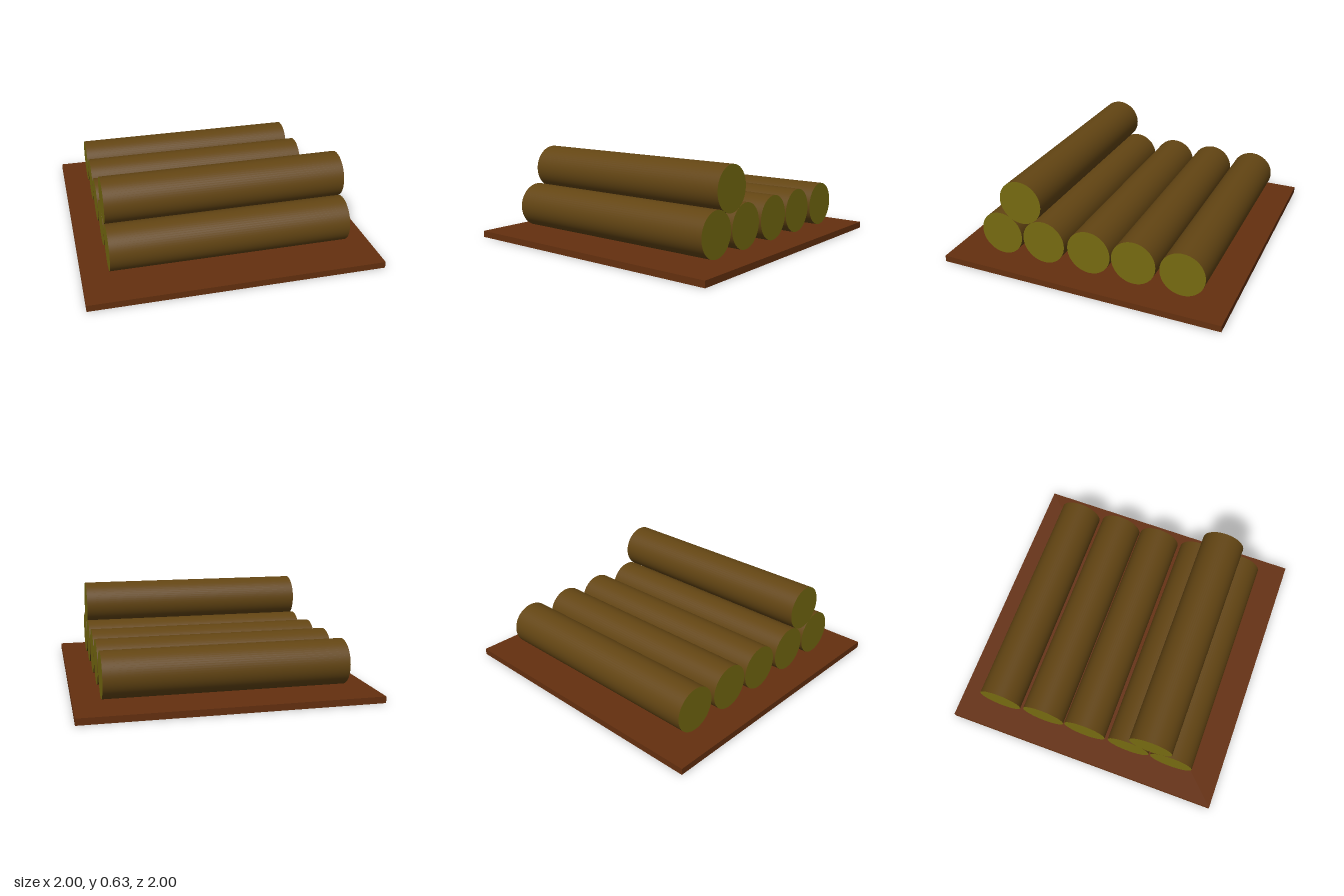
import * as THREE from 'three';

export function createModel() {
  const model = new THREE.Group();
  model.name = 'logPile';

  const boardMat = new THREE.MeshStandardMaterial({ color: 0x65300f });
  const barkMat = new THREE.MeshStandardMaterial({ color: 0x634513 });
  const cutMat = new THREE.MeshStandardMaterial({ color: 0x766a10 });

  // Flat square board under the logs
  const boardHeight = 0.045;
  const board = new THREE.Mesh(new THREE.BoxGeometry(2, boardHeight, 2), boardMat);
  board.name = 'baseBoard';
  board.position.y = boardHeight / 2;
  model.add(board);

  // Logs lie along x: bark on the side, cut wood on both ends
  const logGeometry = new THREE.CylinderGeometry(0.155, 0.155, 1.634, 64);
  logGeometry.rotateZ(Math.PI / 2);
  const addLog = (name, y, z) => {
    const log = new THREE.Mesh(logGeometry, [barkMat, cutMat, cutMat]);
    log.name = name;
    log.position.set(0, y, z);
    model.add(log);
  };

  // Bottom row, front to back
  [0.637, 0.315, -0.02, -0.34, -0.677].forEach((z, i) => addLog(`bottomLog${i + 1}`, 0.214, z));

  // Single log resting on the front two
  addLog('topLog', 0.479, 0.477);

  return model;
}
